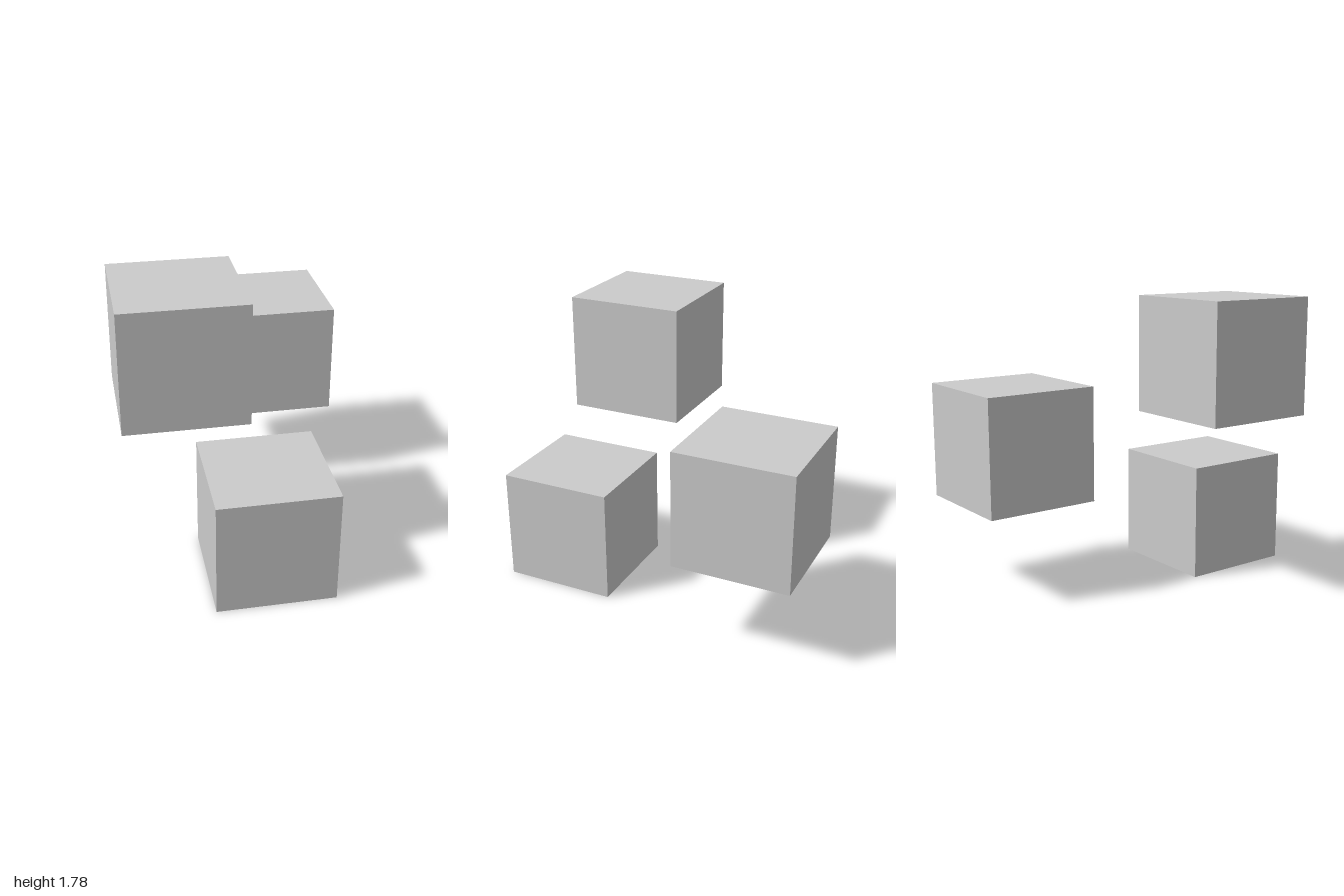
import * as THREE from 'three';

const SIZE = 0.71;

// Three equal cubes floating at different heights: name and centre
const CUBES = [
  ['lowerCube', 0.092, 0.355, 0.645],
  ['middleCube', 0.372, 0.89, -0.645],
  ['upperCube', -0.372, 1.422, 0.382],
];

export function createModel() {
  const group = new THREE.Group();
  group.name = 'floatingCubes';
  const material = new THREE.MeshStandardMaterial({ color: 0xcccccc });
  const geometry = new THREE.BoxGeometry(SIZE, SIZE, SIZE);

  for (const [name, x, y, z] of CUBES) {
    const cube = new THREE.Mesh(geometry, material);
    cube.name = name;
    cube.position.set(x, y, z);
    group.add(cube);
  }
  return group;
}
